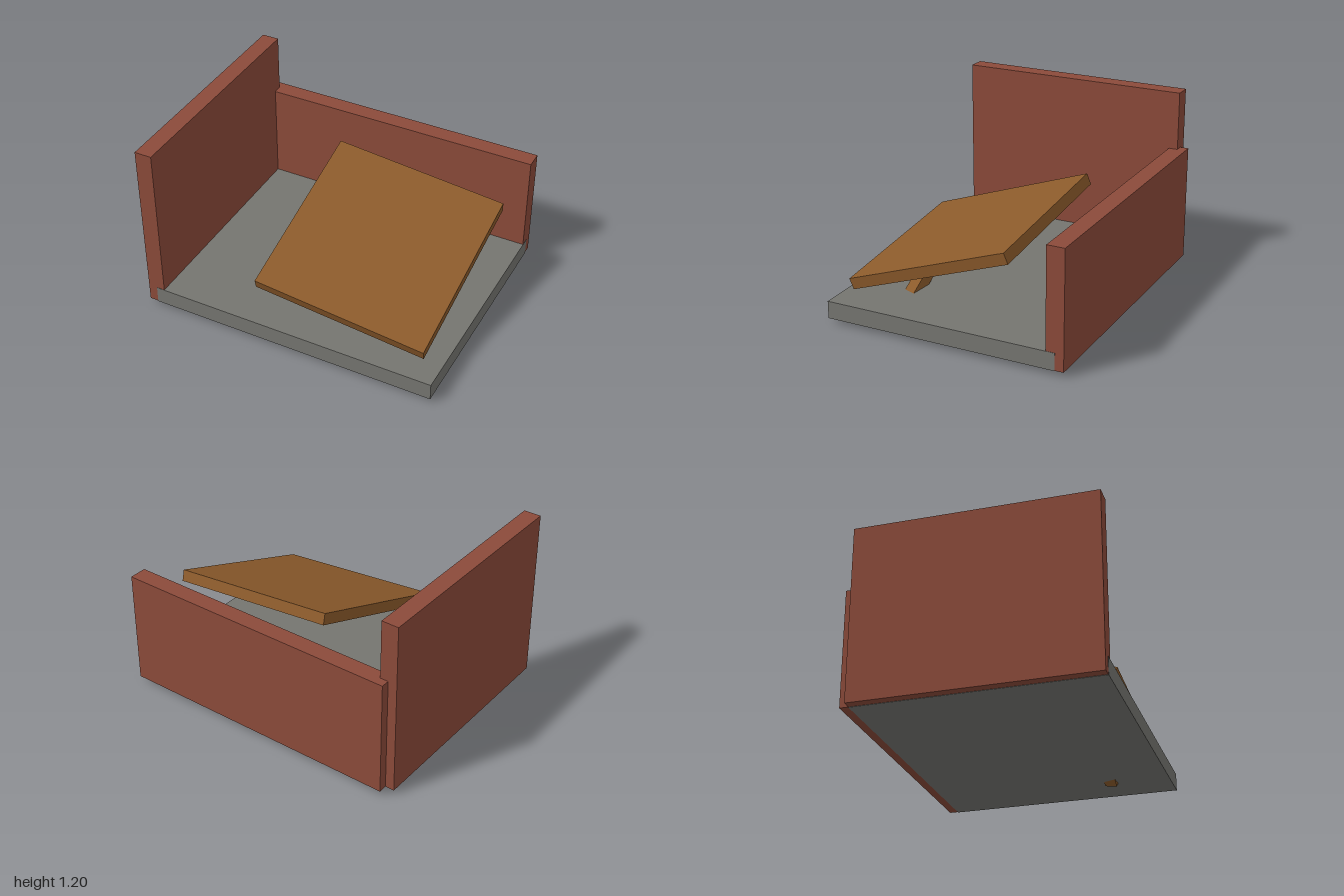
import * as THREE from 'three';

const V = (x, y, z) => new THREE.Vector3(x, y, z);

export function createModel() {
  const model = new THREE.Group();
  const mat = (name, color) => {
    const m = new THREE.MeshStandardMaterial({ color });
    m.name = name;
    return m;
  };
  const brick = mat('brick red', 0x8b4a3a);
  const concrete = mat('concrete grey', 0x757570);
  const wood = mat('wood brown', 0x8b5a2b);

  const add = (name, size, material) => {
    const mesh = new THREE.Mesh(new THREE.BoxGeometry(...size), material);
    mesh.name = name;
    model.add(mesh);
    return mesh;
  };
  // Upright block given by its two extreme corners
  const block = (name, lo, hi, material) =>
    add(name, hi.map((h, i) => h - lo[i]), material)
      .position.set(...hi.map((h, i) => (h + lo[i]) / 2));
  // Tilted block given by its own axes
  const tilted = (name, size, centre, x, y, z) => {
    const mesh = add(name, size, wood);
    mesh.quaternion.setFromRotationMatrix(new THREE.Matrix4().makeBasis(x, y, z));
    mesh.position.copy(centre);
  };

  // Floor and two broken walls; the floor stands a hair proud where faces meet
  block('floor', [-0.94, 0.035, -0.75], [1, 0.15, 0.805], concrete);
  block('sideWall', [-1, 0.037, -0.75], [-0.885, 1.2, 0.803], brick);
  block('backWall', [-0.94, 0.037, -0.807], [0.998, 0.81, -0.69], brick);

  // Fallen square panel, leaning down towards the front and right
  const across = V(1.16, -0.115, 0).normalize();
  const forward = V(-0.04, -0.395, 1.095).normalize();
  const normal = forward.clone().cross(across).normalize();
  forward.copy(across).cross(normal);
  const thick = 0.075;
  const centre = V(0.34, 0.539, 0.157).addScaledVector(normal, -thick / 2);
  tilted('fallenPanel', [1.165, thick, 1.165], centre, across, normal, forward);

  // Square prop under the panel, driven through the floor and rolled a little
  const along = V(-0.877, 0.48, 0).normalize();
  const up = V(0.48, 0.877, 0).normalize();
  const roll = 0.18, length = 0.78;
  const top = up.clone().multiplyScalar(Math.cos(roll)).add(V(0, 0, Math.sin(roll)));
  const front = top.clone().cross(along);
  const mid = V(0.7525, 0.046, 0.4225).addScaledVector(along, length / 2);
  tilted('propBeam', [0.081, length, 0.081], mid, top, along, front);

  return model;
}
